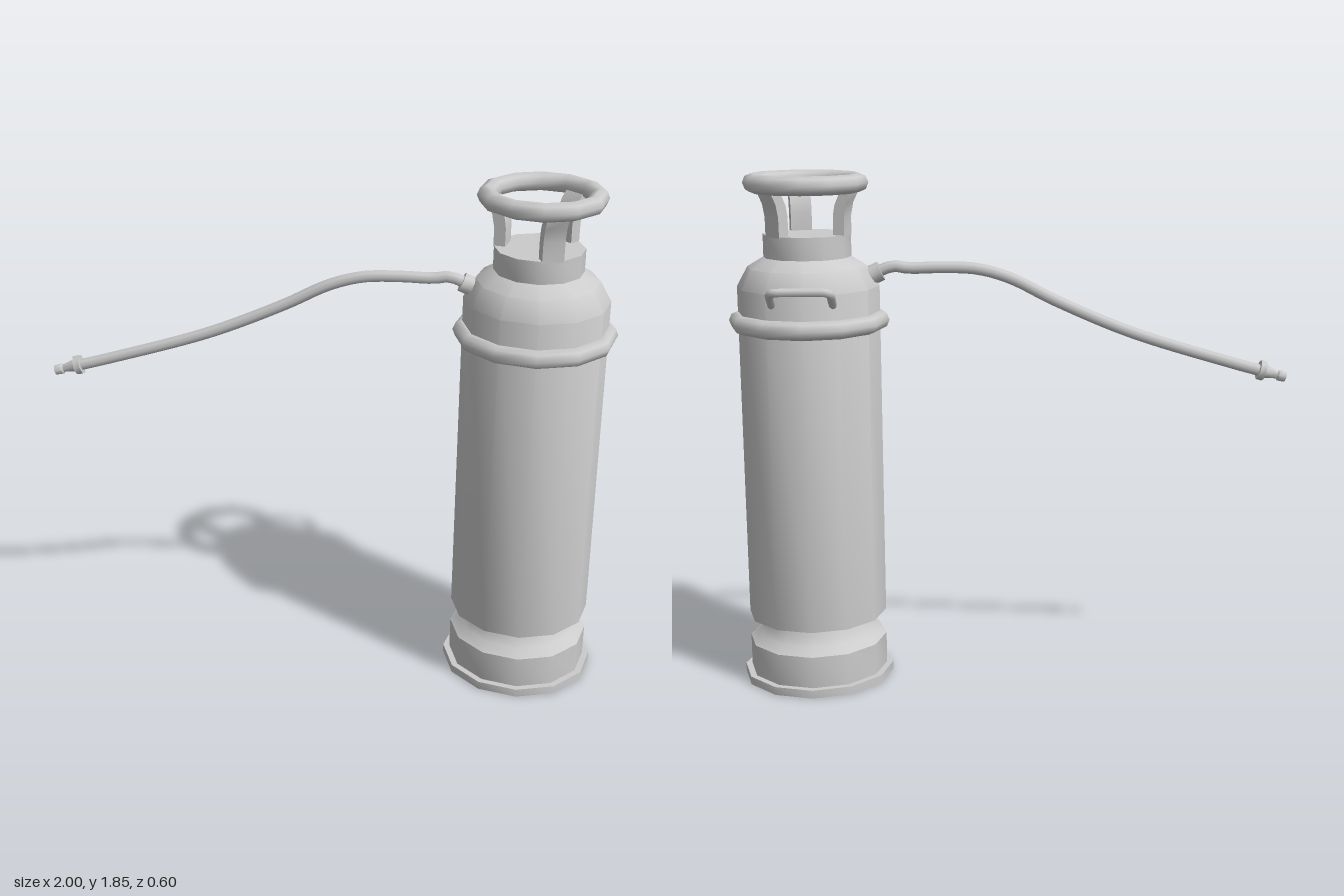
import * as THREE from 'three';
import { toCreasedNormals } from 'three/addons/utils/BufferGeometryUtils.js';

const CX = 0.715, CZ = 0.013; // axis of the tank
const SIDES = 12;
const grey = new THREE.MeshStandardMaterial({ color: 0xcccccc });

function add(parent, name, geometry) {
  const mesh = new THREE.Mesh(geometry, grey);
  mesh.name = name;
  parent.add(mesh);
  return mesh;
}

const points = (list) => list.map(([x, y]) => new THREE.Vector2(x, y));
const lathe = (profile, sides) =>
  toCreasedNormals(new THREE.LatheGeometry(points(profile), sides), sides > 8 ? 0.62 : 0.9);

// Closed lathe whose axis points along the given direction in the xy plane
function fitting(parent, name, profile, sides, x, y, dx, dy) {
  const mesh = add(parent, name, lathe(profile, sides));
  mesh.position.set(x, y, CZ);
  mesh.quaternion.setFromUnitVectors(
    new THREE.Vector3(0, 1, 0), new THREE.Vector3(dx, dy, 0).normalize());
}

function ring(parent, name, radius, tube, y) {
  const mesh = add(parent, name, new THREE.TorusGeometry(radius, tube, 8, SIDES));
  mesh.rotation.x = Math.PI / 2;
  mesh.position.y = y;
}

export function createModel() {
  const model = new THREE.Group();
  const tank = new THREE.Group();
  tank.name = 'tank';
  tank.position.set(CX, 0, CZ);
  model.add(tank);

  // Foot, waist, cylinder, shoulder and neck
  add(tank, 'body', lathe([
    [0, 0], [0.275, 0], [0.275, 0.03], [0.252, 0.03], [0.252, 0.146],
    [0.215, 0.17], [0.192, 0.205], [0.182, 0.24], [0.252, 0.24],
    [0.252, 1.45], [0.213, 1.52], [0.155, 1.555], [0.155, 1.635], [0, 1.635],
  ], SIDES));
  ring(tank, 'shoulderBand', 0.252, 0.033, 1.328);

  // Hand wheel on three flared posts
  ring(tank, 'wheelRim', 0.187, 0.033, 1.812);
  const postShape = new THREE.Shape(points([
    [0.112, 1.63], [0.152, 1.63], [0.153, 1.70], [0.162, 1.745], [0.182, 1.785],
    [0.182, 1.81], [0.165, 1.81], [0.135, 1.775], [0.119, 1.74], [0.112, 1.70],
  ]));
  const postGeometry = toCreasedNormals(
    new THREE.ExtrudeGeometry(postShape, { depth: 0.075, bevelEnabled: false })
      .translate(0, 0, -0.0375), 0.7);
  for (let i = 0; i < 3; i++) {
    const post = add(tank, 'wheelPost', postGeometry);
    post.rotation.y = -(75 + 120 * i) * Math.PI / 180;
  }

  // U-shaped carrying handle at the back, made of straight runs and rounded corners
  const w = 0.104;
  const at = (x, t) => new THREE.Vector3(x, 1.395 + 0.072 * t, -0.19 - 0.107 * t);
  const handlePath = new THREE.CurvePath();
  handlePath.add(new THREE.LineCurve3(at(-w, 0), at(-w, 0.75)));
  handlePath.add(new THREE.QuadraticBezierCurve3(at(-w, 0.75), at(-w, 1), at(-w + 0.03, 1)));
  handlePath.add(new THREE.LineCurve3(at(-w + 0.03, 1), at(w - 0.03, 1)));
  handlePath.add(new THREE.QuadraticBezierCurve3(at(w - 0.03, 1), at(w, 1), at(w, 0.75)));
  handlePath.add(new THREE.LineCurve3(at(w, 0.75), at(w, 0)));
  add(tank, 'backHandle', new THREE.TubeGeometry(handlePath, 40, 0.015, 8));

  // Hose
  const hosePath = new THREE.CatmullRomCurve3([
    [0.49, 1.487], [0.45, 1.508], [0.41, 1.519], [0.36, 1.512], [0.25, 1.514],
    [0.117, 1.508], [0, 1.475], [-0.16, 1.395], [-0.43, 1.28], [-0.79, 1.168], [-0.915, 1.133],
  ].map(([x, y]) => new THREE.Vector3(x, y, CZ)));
  add(model, 'hose', new THREE.TubeGeometry(hosePath, 48, 0.021, 8));
  fitting(model, 'hoseFitting',
    [[0, -0.03], [0.035, -0.03], [0.035, 0.02], [0, 0.02]], 8, 0.475, 1.494, -11, 5);

  // Nozzle with flange, taper and tip
  fitting(model, 'nozzle', [
    [0, -0.012], [0.036, -0.012], [0.036, 0.01], [0.025, 0.01],
    [0.014, 0.058], [0.02, 0.064], [0.018, 0.09], [0, 0.09],
  ], 8, -0.91, 1.136, -0.96, -0.28);

  return model;
}
